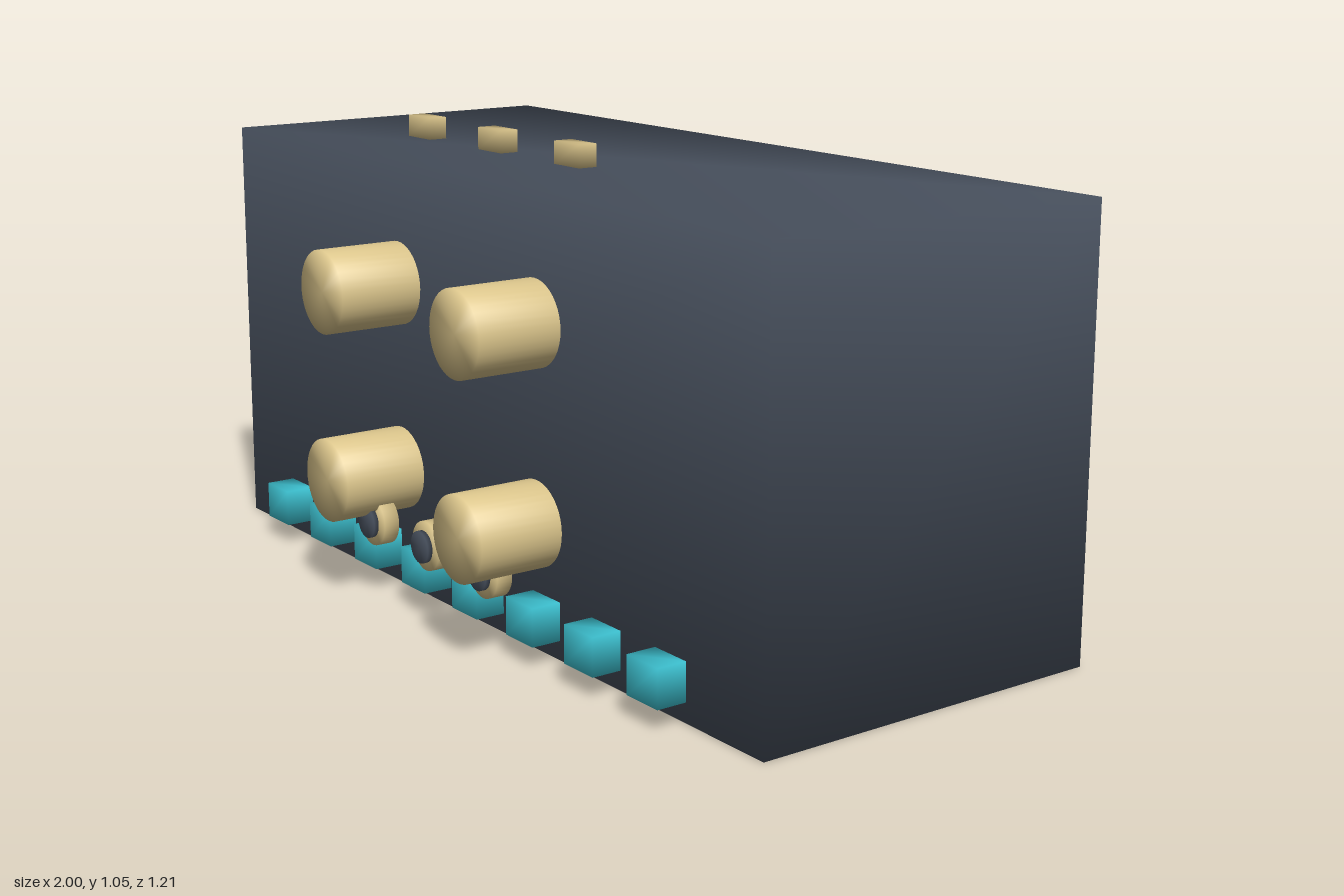
import * as THREE from 'three';
import { mergeVertices } from 'three/addons/utils/BufferGeometryUtils.js';

function material(name, color) {
  const m = new THREE.MeshStandardMaterial({ color });
  m.name = name;
  return m;
}

// Share corner vertices so the shading runs smoothly over the edges
function smooth(geometry) {
  geometry.deleteAttribute('normal');
  geometry.deleteAttribute('uv');
  geometry.clearGroups();
  const merged = mergeVertices(geometry, 1e-4);
  merged.computeVertexNormals();
  return merged;
}

const box = (w, h, d) => smooth(new THREE.BoxGeometry(w, h, d));
const rod = (r, length) => smooth(new THREE.CylinderGeometry(r, r, length, 40).rotateX(Math.PI / 2));

export function createModel() {
  const slate = material('slate', 0x4c5563);
  const brass = material('brass', 0xdcc68c);
  const cyan = material('cyan', 0x40cada);

  const model = new THREE.Group();
  model.name = 'console';
  const add = (name, geometry, mat, x, y, z) => {
    const mesh = new THREE.Mesh(geometry, mat);
    mesh.name = name;
    mesh.position.set(x, y, z);
    model.add(mesh);
  };

  // Main block
  add('body', box(2, 0.96, 0.83), slate, 0, 0.48, 0);

  // Four stubs on the front, four on the back
  const stub = rod(0.092, 0.23);
  for (const z of [0.49, -0.49])
    for (const y of [0.272, 0.69])
      for (const x of [-0.267, 0.267])
        add(z > 0 ? 'frontStub' : 'backStub', stub, brass, x, y, z);

  // Small tabs floating over the top
  const tab = box(0.087, 0.047, 0.042);
  for (const x of [-0.293, -0.01, 0.273]) add('topTab', tab, brass, x, 1.0235, 0.318);

  // Dials with dark faces set just in front of them
  const dial = rod(0.054, 0.036);
  const dialFace = rod(0.035, 0.011);
  for (const x of [-0.225, 0, 0.225]) {
    add('dial', dial, brass, x, 0.174, 0.501);
    add('dialFace', dialFace, slate, x, 0.174, 0.529);
  }

  // Row of keys along the lower front
  const key = box(0.097, 0.082, 0.067);
  for (let i = 0; i < 8; i++) add('key', key, cyan, -0.727 + i * 0.2085, 0.089, 0.458);

  return model;
}
